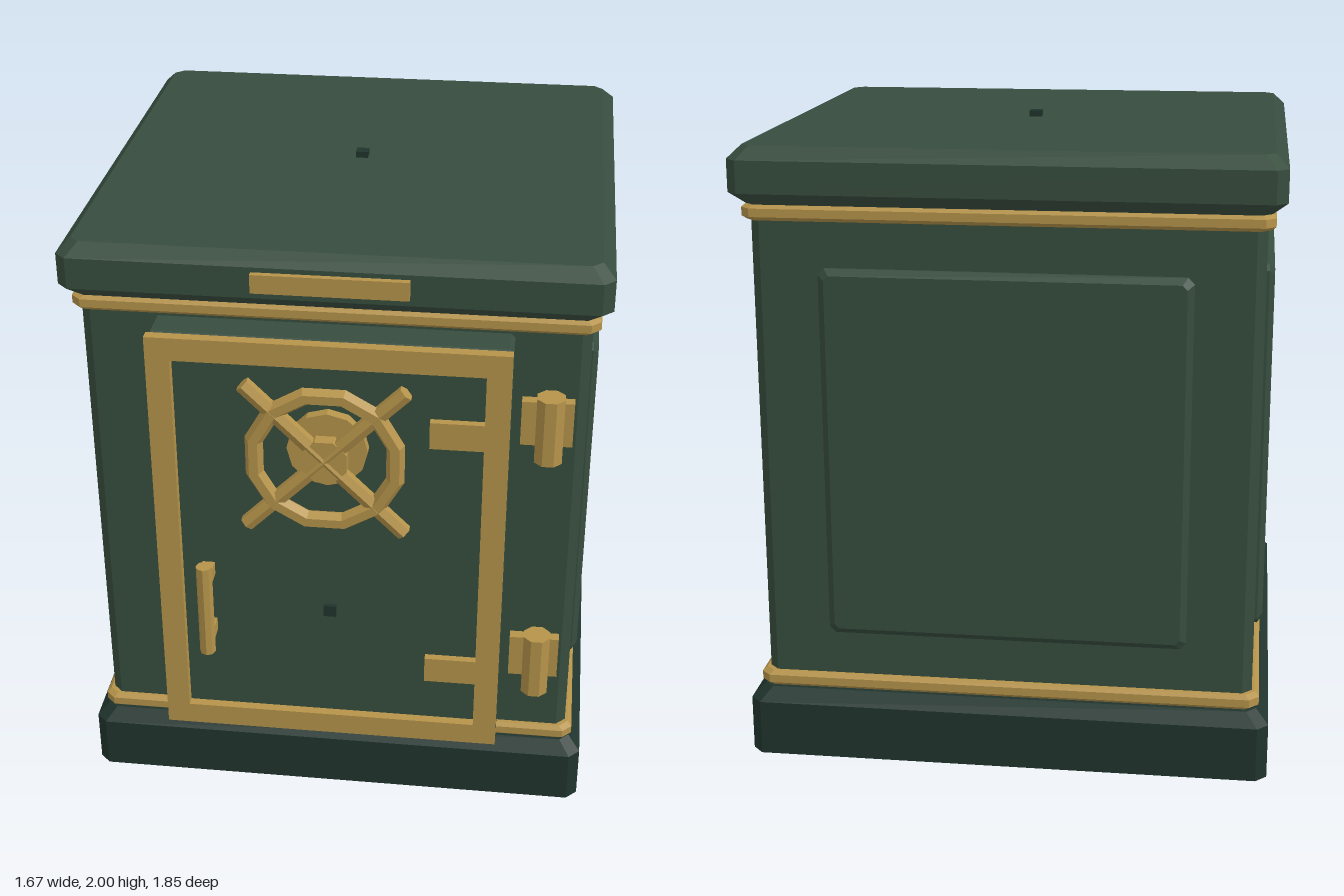
import * as THREE from 'three';

const CZ = -0.09; // centre of the cabinet in z

// Stacked eight-sided rings [y, halfX, halfZ, cornerCut], capped at both ends
function loft(rings) {
  const loops = rings.map(([y, a, b, c]) => [
    [a, c - b], [a, b - c], [a - c, b], [c - a, b],
    [-a, b - c], [-a, c - b], [c - a, -b], [a - c, -b],
  ].map(([x, w]) => [x, y, -w]));
  const pos = [];
  const tri = (...p) => p.forEach((v) => pos.push(...v));
  for (let r = 0; r < loops.length - 1; r++) {
    const lo = loops[r], up = loops[r + 1];
    for (let i = 0; i < 8; i++) {
      const j = (i + 1) % 8;
      tri(lo[i], lo[j], up[j]);
      tri(lo[i], up[j], up[i]);
    }
  }
  const bottom = loops[0], top = loops[loops.length - 1];
  for (let i = 1; i < 7; i++) {
    tri(top[0], top[i], top[i + 1]);
    tri(bottom[0], bottom[i + 1], bottom[i]);
  }
  const g = new THREE.BufferGeometry();
  g.setAttribute('position', new THREE.Float32BufferAttribute(pos, 3));
  g.computeVertexNormals();
  return g;
}

export function createModel() {
  const group = new THREE.Group();
  const mat = (name, color) => {
    const m = new THREE.MeshStandardMaterial({ color, flatShading: true });
    m.name = name;
    return m;
  };
  const green = mat('cabinet green', 0x374d3e);
  const dark = mat('dark green', 0x20342d);
  const gold = mat('brass', 0xb5934a);

  const add = (name, geometry, material, x = 0, y = 0, z = 0, parent = group) => {
    const mesh = new THREE.Mesh(geometry, material);
    mesh.name = name;
    mesh.position.set(x, y, z);
    parent.add(mesh);
    return mesh;
  };
  const box = (w, h, d) => new THREE.BoxGeometry(w, h, d);
  const rod = (r, len, n) => new THREE.CylinderGeometry(r, r, len, n);

  // Cabinet: base, body and lid
  add('base', loft([[0, 0.835, 0.835, 0.035], [0.18, 0.835, 0.835, 0.035],
    [0.22, 0.795, 0.795, 0.03]]), dark, 0, 0, CZ);
  add('body', loft([[0.2, 0.78, 0.78, 0.03], [1.82, 0.78, 0.78, 0.03]]), green, 0, 0, CZ);
  add('lid', loft([[1.8, 0.79, 0.79, 0.03], [1.84, 0.835, 0.835, 0.035],
    [1.94, 0.835, 0.835, 0.035], [1.98, 0.795, 0.795, 0.03]]), green, 0, 0, CZ);
  add('topStud', box(0.04, 0.04, 0.04), dark, 0, 1.98, CZ);

  // Brass bands under the lid and above the base
  for (const [name, y] of [['lowerBand', 0.225], ['upperBand', 1.753]]) {
    add(name, loft([[0, 0.79, 0.79, 0.03], [0.012, 0.803, 0.803, 0.03],
      [0.038, 0.803, 0.803, 0.03], [0.05, 0.79, 0.79, 0.03]]), gold, 0, y, CZ);
  }

  // Raised panels on both sides and the back
  const panel = (a, b) => loft([[-0.02, a, b, 0.02], [0.01, a, b, 0.02],
    [0.027, a - 0.02, b - 0.02, 0.015]]);
  add('leftPanel', panel(0.595, 0.57).rotateZ(-Math.PI / 2), green, 0.78, 1.015, CZ);
  add('rightPanel', panel(0.595, 0.57).rotateZ(Math.PI / 2), green, -0.78, 1.015, CZ);
  add('backPanel', panel(0.57, 0.595).rotateX(-Math.PI / 2), green, 0, 1.015, CZ - 0.78);

  // Door slab and its brass frame
  add('door', loft([[0.67, 0.55, 0.725, 0.012], [0.795, 0.55, 0.725, 0.012],
    [0.81, 0.535, 0.71, 0.01]]).rotateX(Math.PI / 2), green, 0, 1.015, 0);
  const rect = (P, a, b) => new P([[-a, -b], [a, -b], [a, b], [-a, b]]
    .map(([x, y]) => new THREE.Vector2(x, y)));
  const frame = rect(THREE.Shape, 0.55, 0.725);
  frame.holes.push(rect(THREE.Path, 0.475, 0.65));
  add('doorFrame', new THREE.ExtrudeGeometry(frame, { depth: 0.035, bevelEnabled: false }),
    gold, 0, 1.015, 0.805);
  add('keyhole', box(0.04, 0.04, 0.03), dark, 0, 0.775, 0.81);
  add('namePlate', box(0.475, 0.06, 0.03), gold, 0, 1.895, 0.75);

  // Hand wheel
  const wheel = new THREE.Group();
  wheel.name = 'handWheel';
  wheel.position.set(0, 1.39, 0.9);
  group.add(wheel);
  add('wheelPlate', rod(0.125, 0.035, 12).rotateX(Math.PI / 2), gold, 0, 0, -0.0725, wheel);
  add('wheelStem', rod(0.035, 0.08, 8).rotateX(Math.PI / 2), gold, 0, 0, -0.05, wheel);
  add('wheelHub', rod(0.075, 0.042, 8).rotateY(Math.PI / 8).rotateX(Math.PI / 2),
    gold, 0, 0, 0, wheel);
  add('wheelRim', new THREE.TorusGeometry(0.222, 0.029, 6, 12).rotateZ(Math.PI / 12),
    gold, 0, 0, 0, wheel);
  for (const s of [-1, 1]) {
    add('wheelSpoke', rod(0.026, 0.69, 6), gold, 0, 0, 0, wheel).rotation.z = s * Math.PI / 4;
  }

  // Door handle
  add('handleGrip', rod(0.026, 0.33, 8), gold, -0.392, 0.795, 0.886);
  for (const y of [0.685, 0.905]) {
    add('handleMount', box(0.04, 0.045, 0.08), gold, -0.392, y, 0.845);
  }

  // Hinges: wall plate, knuckle and door strap
  for (const y of [0.575, 1.455]) {
    add('hingePlate', box(0.16, 0.15, 0.05), gold, 0.66, y, 0.7);
    add('hingeKnuckle', rod(0.046, 0.22, 8).rotateY(Math.PI / 8), gold, 0.668, y, 0.75);
    add('hingeStrap', box(0.165, 0.09, 0.03), gold, 0.3925, y, 0.82);
  }
  return group;
}
